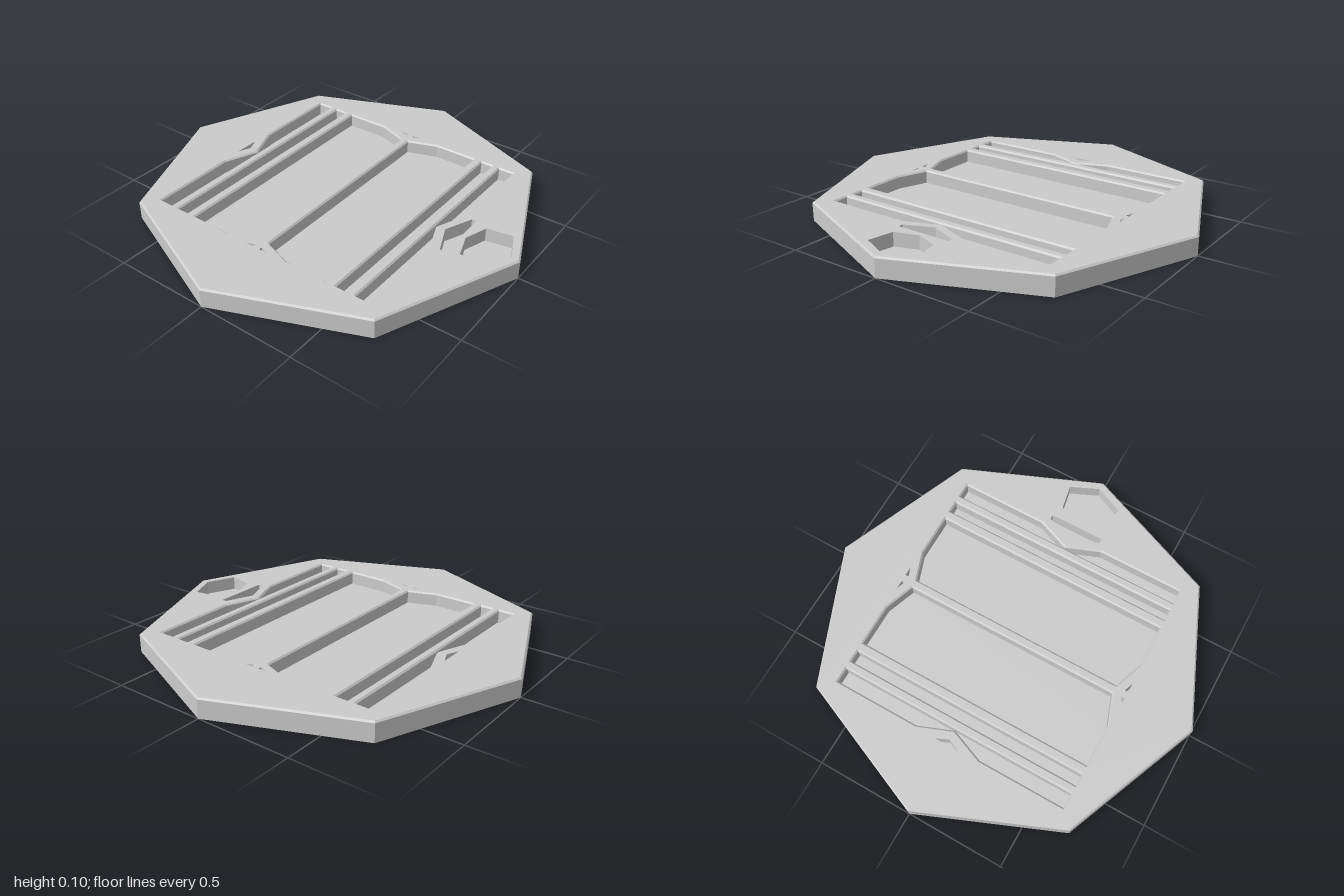
import * as THREE from 'three';

const HEIGHT = 0.1, FLOOR = 0.03, CHAMFER = 0.008;
const material = new THREE.MeshStandardMaterial({ color: 0xcccccc, flatShading: true });

// Outlines are [x, z] pairs; kept as counter-clockwise points in (x, -z)
function outline(pairs) {
  const pts = pairs.map(([x, z]) => new THREE.Vector2(x, -z));
  return THREE.ShapeUtils.isClockWise(pts) ? pts.reverse() : pts;
}

// Moves every edge inwards by d
function inset(pts, d) {
  const n = pts.length;
  const normal = (a, b) => new THREE.Vector2(a.y - b.y, b.x - a.x).normalize();
  return pts.map((p, i) => {
    const n1 = normal(pts[(i + n - 1) % n], p);
    const n2 = normal(p, pts[(i + 1) % n]);
    return n1.clone().add(n2).multiplyScalar(d / (1 + n1.dot(n2))).add(p);
  });
}

// Wall strip between a lower and an upper loop; inward faces the loop's middle
function wall(low, yLow, high, yHigh, inward) {
  const pos = [];
  const put = (p, y) => pos.push(p.x, y, -p.y);
  low.forEach((a, i) => {
    const j = (i + 1) % low.length;
    let quad = [[a, yLow], [low[j], yLow], [high[j], yHigh], [high[i], yHigh]];
    if (inward) quad = quad.reverse();
    for (const k of [0, 1, 2, 0, 2, 3]) put(...quad[k]);
  });
  const geo = new THREE.BufferGeometry();
  geo.setAttribute('position', new THREE.Float32BufferAttribute(pos, 3));
  geo.computeVertexNormals();
  return geo;
}

// Flat horizontal face, looking up
function cap(pts, y, holes = []) {
  const shape = new THREE.Shape(pts);
  shape.holes = holes.map((h) => new THREE.Path(h));
  return new THREE.ShapeGeometry(shape).rotateX(-Math.PI / 2).translate(0, y, 0);
}

// Recess outlines: name, points, chamfer width
function recesses() {
  const W = 0.637, list = [];
  for (const [side, s] of [['back', -1], ['front', 1]]) {
    const add = (name, pts, chamfer) =>
      list.push([side + name, outline(pts.map(([x, z]) => [x, z * s])), chamfer]);
    add('LargeBay', [[-W, 0.408], [W, 0.408], [W, 0.175], [0.58, 0.015], [-0.58, 0.015], [-W, 0.175]], CHAMFER);
    add('NarrowSlot', [[-W, 0.442], [W, 0.442], [W, 0.518], [-W, 0.518]], CHAMFER);
    add('NotchedSlot', [[-W, 0.546], [W, 0.546], [W, 0.638], [0.175, 0.638],
      [0, 0.57], [-0.175, 0.638], [-W, 0.638]], CHAMFER);
    for (const m of [-1, 1]) {
      add(m < 0 ? 'RightMark' : 'LeftMark',
        [[m * 0.64, 0.065], [m * 0.64, 0.018], [m * 0.622, 0.02]], 0);
    }
  }
  list.push(['backTriangleMark', outline([[-0.065, -0.642], [0.065, -0.642], [0, -0.613]]), 0]);
  list.push(['frontPeakedPocket', outline([[-0.145, 0.67], [0, 0.61], [0.145, 0.67],
    [0.145, 0.695], [-0.145, 0.695]]), 0]);
  list.push(['frontHexPocket', outline([[0, 0.72], [0.12, 0.76], [0.145, 0.89], [0, 0.955],
    [-0.145, 0.89], [-0.12, 0.76]]), 0]);
  return list;
}

export function createModel() {
  const model = new THREE.Group();
  model.name = 'octagonalTray';
  const add = (name, geo, parent = model) => {
    const mesh = new THREE.Mesh(geo, material);
    mesh.name = name;
    parent.add(mesh);
  };

  // Octagonal body
  const rim = outline(Array.from({ length: 8 }, (_, i) => {
    const a = (i * Math.PI) / 4;
    return [Math.cos(a), Math.sin(a)];
  }));
  const topRim = inset(rim, CHAMFER);
  const pockets = recesses();
  add('outerWall', wall(rim, 0, rim, HEIGHT - CHAMFER, false));
  add('rimChamfer', wall(rim, HEIGHT - CHAMFER, topRim, HEIGHT, false));
  add('topFace', cap(topRim, HEIGHT, pockets.map(([, pts]) => pts)));
  add('underside', cap(rim, 0).rotateX(Math.PI));

  // Recesses: chamfered lip, straight wall and floor
  for (const [name, pts, chamfer] of pockets) {
    const recess = new THREE.Group();
    recess.name = name;
    const inner = chamfer ? inset(pts, chamfer) : pts;
    if (chamfer) add('lip', wall(inner, HEIGHT - chamfer, pts, HEIGHT, true), recess);
    add('wall', wall(inner, FLOOR, inner, HEIGHT - chamfer, true), recess);
    add('floor', cap(inner, FLOOR), recess);
    model.add(recess);
  }
  return model;
}
